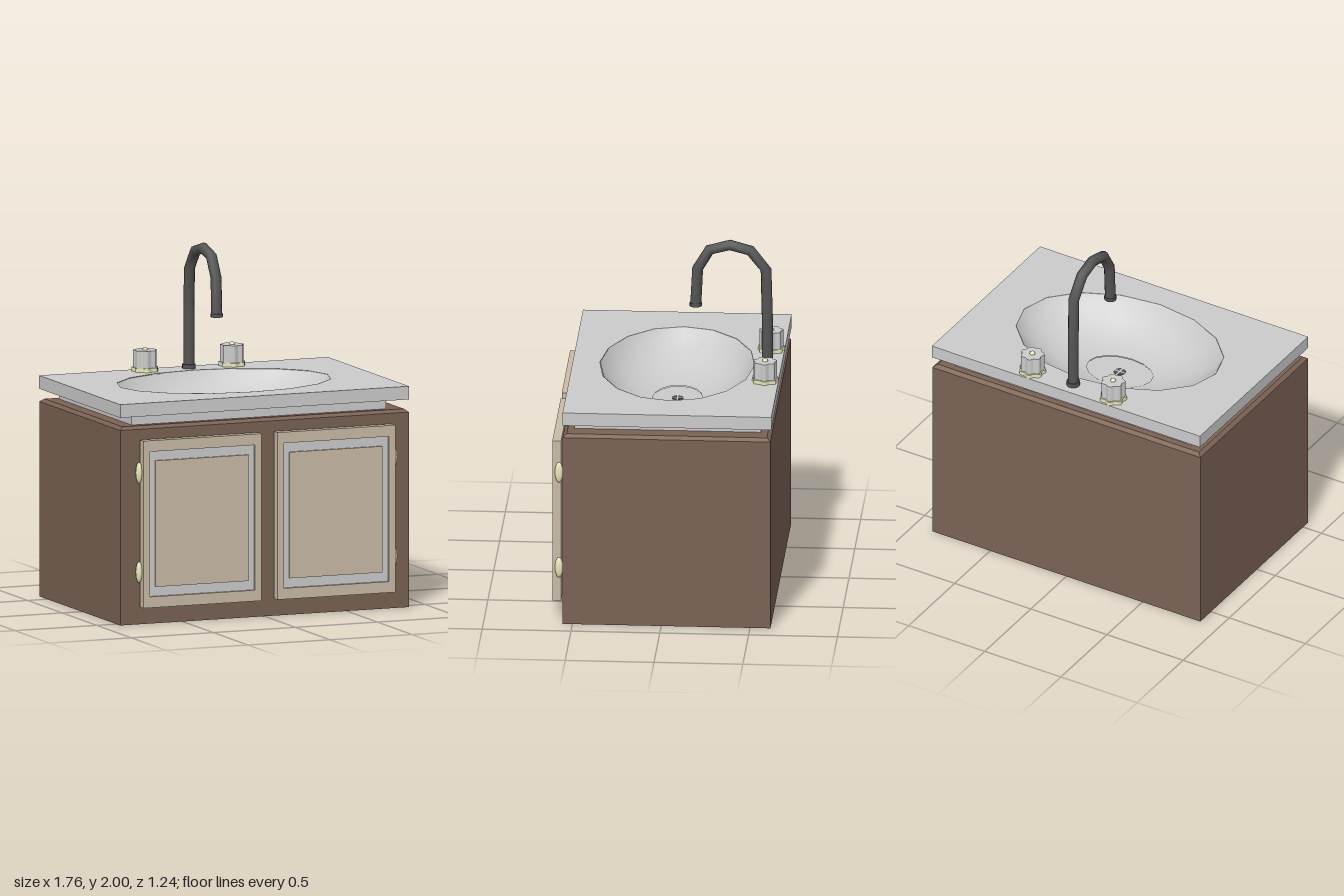
import * as THREE from 'three';

const mat = (color, extra = {}) => new THREE.MeshStandardMaterial({ color, ...extra });
const grey = mat(0xcccccc);
const wood = mat(0x7a6254, { flatShading: true });
const beige = mat(0xc9bca6);
const cream = mat(0xe8e8b8);
const dark = mat(0x555555);

const BASIN_Z = -0.035, BODY_Z = -0.03;

function add(parent, name, geometry, material, x = 0, y = 0, z = 0) {
  const mesh = new THREE.Mesh(geometry, material);
  mesh.name = name;
  mesh.position.set(x, y, z);
  parent.add(mesh);
  return mesh;
}

// Points [x, z] of an ellipse in the ground plane
const ellipse = (rx, rz, n = 16) => Array.from({ length: n }, (_, i) => {
  const a = (i / n) * Math.PI * 2;
  return [rx * Math.cos(a), rz * Math.sin(a)];
});

// Skin between scaled copies of an outline; each ring is [scaleX, scaleZ, y]
function loft(outline, rings) {
  const n = outline.length, pos = [], idx = [];
  for (const [sx, sz, y] of rings) for (const [x, z] of outline) pos.push(x * sx, y, z * sz);
  for (let i = 0; i < rings.length - 1; i++) {
    for (let j = 0; j < n; j++) {
      const k = (j + 1) % n;
      const a = i * n + j, b = i * n + k, c = a + n, d = b + n;
      idx.push(a, c, b, b, c, d);
    }
  }
  const g = new THREE.BufferGeometry();
  g.setAttribute('position', new THREE.Float32BufferAttribute(pos, 3));
  g.setIndex(idx);
  g.computeVertexNormals();
  return g;
}

const toShape = (points) => new THREE.Shape(points.map(([x, y]) => new THREE.Vector2(x, y)));
const rect = (w, h) => [[-w / 2, -h / 2], [w / 2, -h / 2], [w / 2, h / 2], [-w / 2, h / 2]];

// Extruded outline with an optional hole
function plate(outline, depth, hole) {
  const shape = toShape(outline);
  if (hole) shape.holes.push(toShape(hole));
  return new THREE.ExtrudeGeometry(shape, { depth, bevelEnabled: false });
}
const flat = (outline, depth, hole) => plate(outline, depth, hole).rotateX(-Math.PI / 2);

// Polyline whose samples land exactly on its corners
class Polyline extends THREE.Curve {
  constructor(points) { super(); this.points = points; }
  getUtoTmapping(u) { return u; }
  getPoint(t, target = new THREE.Vector3()) {
    const f = t * (this.points.length - 1);
    const i = Math.min(Math.floor(f), this.points.length - 2);
    return target.lerpVectors(this.points[i], this.points[i + 1], f - i);
  }
}

function makeDoor(side) {
  const door = new THREE.Group();
  door.name = side > 0 ? 'leftDoor' : 'rightDoor';
  const w = 0.722, h = 0.95;
  add(door, 'doorBack', new THREE.BoxGeometry(w, h, 0.025), beige, 0, 0, 0.0125);
  add(door, 'doorFrame', plate(rect(w, h), 0.025, rect(0.64, 0.825)), beige, 0, 0, 0.025);
  add(door, 'doorGroove', plate(rect(0.64, 0.825), 0.008, rect(0.565, 0.715)), grey, 0, 0, 0.025);
  add(door, 'doorPanel', new THREE.BoxGeometry(0.567, 0.717, 0.02), beige, 0, 0, 0.035);
  door.position.set(side > 0 ? 0.411 : -0.406, 0.575, 0.57);
  return door;
}

function makeTap(side) {
  const tap = new THREE.Group();
  tap.name = side > 0 ? 'leftTap' : 'rightTap';
  const scallop = (r) => Array.from({ length: 56 }, (_, i) => {
    const a = (i / 56) * Math.PI * 2, s = r * (1 + 0.09 * Math.cos(7 * a));
    return [s * Math.cos(a), s * Math.sin(a)];
  });
  add(tap, 'tapBase', flat(scallop(0.071), 0.022), cream);
  add(tap, 'tapHandle', flat(scallop(0.063), 0.098), grey, 0, 0.022, 0);
  add(tap, 'tapButton', new THREE.SphereGeometry(0.016, 10, 8), cream, 0, 0.12, 0);
  tap.position.set(side * 0.265, 1.255, -0.545);
  return tap;
}

export function createModel() {
  const sink = new THREE.Group();
  sink.name = 'sinkCabinet';

  // Cabinet box with a chamfered top edge and a deck cut out for the basin
  const corners = [[0.88, 0.585], [-0.88, 0.585], [-0.88, -0.585], [0.88, -0.585]];
  add(sink, 'cabinet', loft(corners, [
    [0, 0, 0], [1, 1, 0], [1, 1, 1.108], [0.975, 0.963, 1.125],
  ]), wood, 0, 0, BODY_Z);
  const hole = ellipse(0.63, 0.435);
  add(sink, 'cabinetDeck', flat(rect(1.716, 1.126), 0.004, hole), wood, 0, 1.121, BODY_Z);

  // Recessed neck and countertop
  add(sink, 'counterNeck', flat(rect(1.55, 1.05), 0.057, hole), grey, -0.01, 1.124, BODY_Z);
  add(sink, 'countertop', flat(rect(1.76, 1.175), 0.075, hole), grey, 0, 1.18, BASIN_Z + 0.0025);

  // Basin bowl and floor
  const bowl = mat(0xcccccc, { side: THREE.DoubleSide });
  add(sink, 'basin', loft(hole, [
    [1, 1, 1.255], [0.92, 0.92, 1.2], [0.81, 0.81, 1.15], [0.66, 0.66, 1.1],
    [0.49, 0.49, 1.07], [0.32, 0.32, 1.055],
  ]), bowl, 0, 0, BASIN_Z);
  add(sink, 'basinFloor', loft(ellipse(0.205, 0.142), [[1, 1, 1.05], [0, 0, 1.05]]), bowl, 0, 0, BASIN_Z);

  // Drain of four quarter openings
  for (let i = 0; i < 4; i++) {
    const a = (i + 0.5) * Math.PI / 2;
    const quarter = new THREE.CylinderGeometry(0.028, 0.028, 0.003, 6, 1, false, i * Math.PI / 2, Math.PI / 2);
    add(sink, 'drainSlot', quarter, dark, 0.006 * Math.sin(a), 1.052, BASIN_Z + 0.006 * Math.cos(a));
  }

  // Gooseneck faucet
  const path = [
    [1.255, -0.54], [1.55, -0.54], [1.825, -0.533], [1.937, -0.445], [1.968, -0.33],
    [1.937, -0.215], [1.825, -0.148], [1.605, -0.137],
  ].map(([y, z]) => new THREE.Vector3(0, y, z));
  add(sink, 'faucetSpout', new THREE.TubeGeometry(new Polyline(path), path.length - 1, 0.031, 10), dark);
  add(sink, 'faucetTip', new THREE.CylinderGeometry(0.035, 0.035, 0.02, 12), dark, 0, 1.613, -0.137);
  add(sink, 'faucetFoot', new THREE.CylinderGeometry(0.038, 0.038, 0.025, 12), dark, 0, 1.267, -0.54);

  // Taps, doors and hinges on both sides
  for (const side of [-1, 1]) {
    sink.add(makeTap(side), makeDoor(side));
    for (const y of [0.3, 0.865]) {
      add(sink, 'hinge', new THREE.SphereGeometry(1, 12, 10), cream, side * 0.777, y, 0.582)
        .scale.set(0.018, 0.06, 0.023);
    }
  }
  return sink;
}
